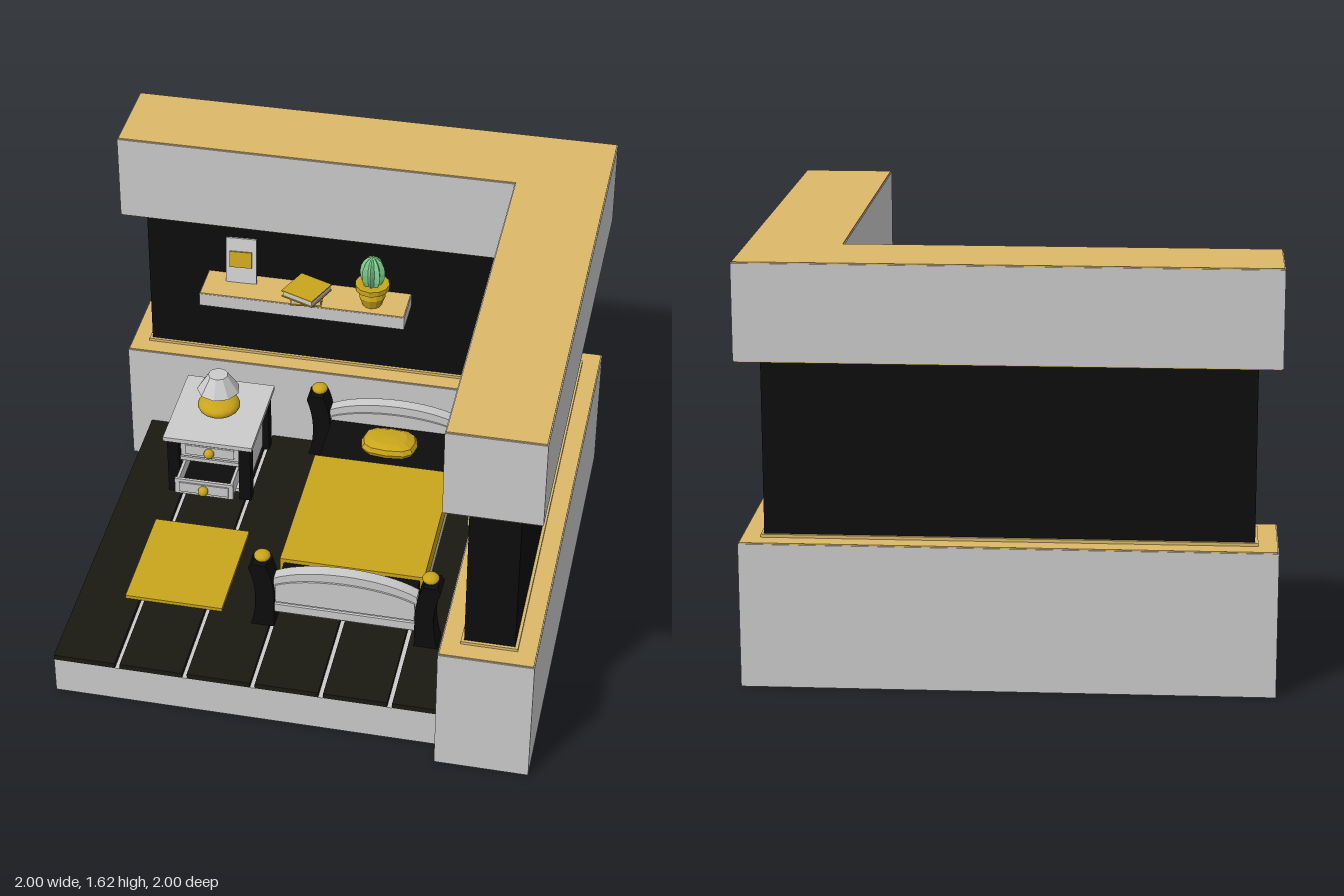
import * as THREE from 'three';

const mat = (color, extra = {}) => new THREE.MeshStandardMaterial({ color, ...extra });
const grey = mat(0xcccccc), tan = mat(0xdcb96a), black = mat(0x0d0d0d);
const yellow = mat(0xc9a51c), wood = mat(0x1a1a12), green = mat(0x7fd08f, { flatShading: true });
const flatGrey = mat(0xcccccc, { flatShading: true });
const flatYellow = mat(0xc9a51c, { flatShading: true });

function add(parent, name, geometry, material, x = 0, y = 0, z = 0) {
  const m = new THREE.Mesh(geometry, material);
  m.name = name;
  m.position.set(x, y, z);
  parent.add(m);
  return m;
}

// Box given by its min and max on each axis
function box(parent, name, material, x0, x1, y0, y1, z0, z1) {
  return add(parent, name, new THREE.BoxGeometry(x1 - x0, y1 - y0, z1 - z0), material,
    (x0 + x1) / 2, (y0 + y1) / 2, (z0 + z1) / 2);
}

// L-shaped wall slab, inset by d on every side
function wall(parent, name, material, d, y0, y1) {
  const o = 1 - d, i = 0.632 + d;
  const pts = [[-o, o], [o, o], [o, -o], [i, -o], [i, i], [-o, i]];
  const shape = new THREE.Shape(pts.map(p => new THREE.Vector2(...p)));
  const g = new THREE.ExtrudeGeometry(shape, { depth: y1 - y0, bevelEnabled: false });
  g.rotateX(-Math.PI / 2);
  return add(parent, name, g, material, 0, y0, 0);
}

const lathe = (pts, n) => new THREE.LatheGeometry(pts.map(p => new THREE.Vector2(...p)), n);

function ball(parent, name, material, r, x, y, z, sx = 1, sy = 1, sz = 1) {
  const m = add(parent, name, new THREE.SphereGeometry(r, 16, 10), material, x, y, z);
  m.scale.set(sx, sy, sz);
  return m;
}

function group(parent, name) {
  const g = new THREE.Group();
  g.name = name;
  parent.add(g);
  return g;
}

function makeRoom(root) {
  const room = group(root, 'room');
  wall(room, 'lowerWall', grey, 0, 0, 0.558);
  wall(room, 'lowerWallCap', tan, 0.004, 0.558, 0.563);
  wall(room, 'lowerMoulding', tan, 0.075, 0.563, 0.575);
  wall(room, 'middleWall', black, 0.087, 0.563, 1.255);
  wall(room, 'upperMoulding', tan, 0.075, 1.242, 1.254);
  wall(room, 'upperWallUnderside', tan, 0.004, 1.25, 1.255);
  wall(room, 'upperWall', grey, 0, 1.255, 1.618);
  wall(room, 'upperWallCap', tan, 0.004, 1.618, 1.623);

  box(room, 'floorBase', grey, -0.91, 0.64, 0.005, 0.165, -0.64, 0.91);
  const seams = [-0.92, -0.652, -0.38, -0.107, 0.165, 0.438, 0.645];
  for (let i = 0; i < 6; i++)
    box(room, 'floorPlank', wood, seams[i] + 0.01, seams[i + 1] - 0.01, 0.165, 0.188, -0.64, 0.91);
  box(room, 'rug', yellow, -0.72, -0.32, 0.188, 0.203, 0.035, 0.525);
}

function makeNightstand(root) {
  const n = group(root, 'nightstand');
  box(n, 'tableTop', grey, -0.73, -0.35, 0.465, 0.485, -0.6, -0.16);
  for (const x of [-0.718, -0.412])
    for (const z of [-0.58, -0.23])
      box(n, 'leg', black, x, x + 0.05, 0.188, 0.465, z, z + 0.05);
  // Cabinet shell
  box(n, 'cabinetBack', grey, -0.67, -0.41, 0.21, 0.465, -0.575, -0.56);
  for (const x of [-0.69, -0.405]) box(n, 'cabinetSide', grey, x, x + 0.015, 0.21, 0.465, -0.57, -0.2);
  for (const y of [0.21, 0.345, 0.45]) box(n, 'cabinetRail', grey, -0.675, -0.405, y, y + 0.018, -0.57, -0.2);
  // Drawers: the lower one is pulled out
  for (const [y, z] of [[0.37, -0.2], [0.26, -0.085]]) {
    const d = group(n, 'drawer');
    box(d, 'drawerFront', grey, -0.665, -0.415, y, y + 0.075, z - 0.012, z);
    box(d, 'drawerPanel', grey, -0.645, -0.435, y + 0.014, y + 0.061, z, z + 0.006);
    box(d, 'drawerBottom', black, -0.655, -0.425, y, y + 0.012, z - 0.33, z - 0.01);
    box(d, 'drawerBack', grey, -0.655, -0.425, y, y + 0.07, z - 0.33, z - 0.32);
    for (const x of [-0.66, -0.432]) box(d, 'drawerSide', grey, x, x + 0.012, y, y + 0.07, z - 0.33, z - 0.01);
    ball(d, 'knob', yellow, 0.022, -0.54, y + 0.037, z + 0.016);
  }

  const lamp = group(root, 'lamp');
  ball(lamp, 'lampBase', yellow, 0.09, -0.54, 0.525, -0.38, 1, 0.45, 1);
  add(lamp, 'lampNeck', new THREE.CylinderGeometry(0.012, 0.025, 0.07, 12), yellow, -0.54, 0.59, -0.38);
  add(lamp, 'lampShade', new THREE.CylinderGeometry(0.042, 0.09, 0.075, 9), flatGrey, -0.54, 0.643, -0.38);
}

function makeBed(root) {
  const bed = group(root, 'bed');
  const cx = 0.188;
  // Curved corner post profile, x pointing outward from the bed centre
  const post = new THREE.Shape();
  post.moveTo(0.283, 0);
  post.lineTo(0.378, 0);
  post.quadraticCurveTo(0.335, 0.15, 0.385, 0.29);
  post.lineTo(0.37, 0.31);
  post.lineTo(0.315, 0.31);
  post.quadraticCurveTo(0.288, 0.25, 0.283, 0.17);
  const postGeo = new THREE.ExtrudeGeometry(post, { depth: 0.09, bevelEnabled: false, curveSegments: 8 });
  postGeo.translate(0, 0, -0.045);
  // Arched end board, h is the height of the arch ends
  const arch = (w, y0, h, rise, depth) => {
    const s = new THREE.Shape();
    s.moveTo(-w, y0);
    s.lineTo(w, y0);
    s.lineTo(w, h);
    s.bezierCurveTo(w * 0.5, h + rise * 1.3, -w * 0.5, h + rise * 1.3, -w, h);
    return new THREE.ExtrudeGeometry(s, { depth, bevelEnabled: false, curveSegments: 16 });
  };
  for (const z of [-0.585, 0.524]) {
    for (const side of [0, Math.PI]) {
      const p = add(bed, 'bedPost', postGeo, black, cx, 0.188, z);
      p.rotation.y = side;
      const kx = cx + (side ? -0.337 : 0.337);
      ball(bed, 'postKnob', yellow, 0.034, kx, 0.515, z, 1, 0.62, 1);
    }
    add(bed, z > 0 ? 'footboard' : 'headboard', arch(0.288, 0.25, 0.425, 0.06, 0.05), grey, cx, 0, z - 0.025);
    add(bed, 'endPanel', arch(0.28, 0.31, 0.395, 0.05, 0.064), grey, cx, 0, z - 0.032);
    box(bed, 'endRail', grey, -0.1, 0.476, 0.262, 0.3, z - 0.036, z + 0.036);
  }
  for (const x of [-0.102, 0.46]) box(bed, 'sideRail', grey, x, x + 0.018, 0.262, 0.33, -0.56, 0.5);
  box(bed, 'mattress', black, -0.088, 0.464, 0.27, 0.392, -0.535, 0.475);
  box(bed, 'blanket', yellow, -0.104, 0.48, 0.325, 0.41, -0.265, 0.41);
  // Pillow: a squared-off sphere
  const pillow = new THREE.SphereGeometry(1, 12, 6);
  const p = pillow.attributes.position;
  const sq = (v, e) => Math.sign(v) * Math.pow(Math.abs(v), e);
  for (let i = 0; i < p.count; i++)
    p.setXYZ(i, sq(p.getX(i), 0.7) * 0.12, p.getY(i) * 0.04, sq(p.getZ(i), 0.7) * 0.085);
  pillow.computeVertexNormals();
  add(bed, 'pillow', pillow, flatYellow, 0.19, 0.425, -0.385);
}

function makeShelf(root) {
  const s = group(root, 'wallShelf');
  box(s, 'shelfBoard', grey, -0.655, 0.213, 0.9, 0.958, -0.72, -0.55);
  box(s, 'shelfTop', tan, -0.652, 0.21, 0.958, 0.962, -0.72, -0.552);

  // Leaning picture card with a plain plaque
  const card = group(s, 'pictureCard');
  card.position.set(-0.5, 0.962, -0.655);
  card.rotation.set(-0.2, 0, 0.03);
  box(card, 'cardPanel', grey, -0.065, 0.065, 0, 0.2, -0.012, 0);
  box(card, 'cardPlaque', yellow, -0.047, 0.047, 0.072, 0.142, 0, 0.008);

  // Two stacked books
  const books = [[0.13, 0.1, 0.964, 0.1, -0.205], [0.15, 0.15, 0.994, -0.38, -0.206]];
  for (const [w, d, y, turn, x] of books) {
    const b = group(s, 'book');
    b.position.set(x, y, -0.592);
    b.rotation.y = turn;
    box(b, 'pages', grey, -w / 2 + 0.004, w / 2 - 0.004, 0.005, 0.026, -d / 2 + 0.004, d / 2 - 0.004);
    for (const cy of [0, 0.026]) box(b, 'cover', yellow, -w / 2, w / 2, cy, cy + 0.005, -d / 2, d / 2);
  }

  // Potted ribbed cactus
  const plant = group(s, 'cactus');
  plant.position.set(0.065, 0.962, -0.622);
  add(plant, 'pot', lathe([[0, 0], [0.04, 0], [0.056, 0.045], [0.046, 0.08], [0.072, 0.08],
    [0.072, 0.103], [0.055, 0.103], [0, 0.095]], 12), flatYellow);
  const g = new THREE.SphereGeometry(1, 16, 8), q = g.attributes.position;
  for (let i = 0; i < q.count; i++) {
    const rib = (i % 17) % 2 ? 0.036 : 0.053;
    q.setXYZ(i, q.getX(i) * rib, q.getY(i) * 0.078, q.getZ(i) * rib);
  }
  g.computeVertexNormals();
  add(plant, 'cactusBody', g, green, 0, 0.155, 0);
}

// Divided frame on the side wall
function makeWallFrame(root) {
  const f = group(root, 'wallFrame');
  for (const y of [0.69, 0.9, 1.1]) {
    box(f, 'frameBar', tan, 0.645, 0.722, y, y + 0.036, -0.39, 0.39);
    box(f, 'frameBarFace', grey, 0.641, 0.645, y + 0.002, y + 0.034, -0.388, 0.388);
  }
  for (const z of [-0.39, 0.354]) {
    box(f, 'frameSide', tan, 0.645, 0.722, 0.69, 1.136, z, z + 0.036);
    box(f, 'frameSideFace', grey, 0.641, 0.645, 0.692, 1.134, z + 0.002, z + 0.034);
  }
}

export function createModel() {
  const root = new THREE.Group();
  root.name = 'bedroom';
  makeRoom(root);
  makeNightstand(root);
  makeBed(root);
  makeShelf(root);
  makeWallFrame(root);
  return root;
}
